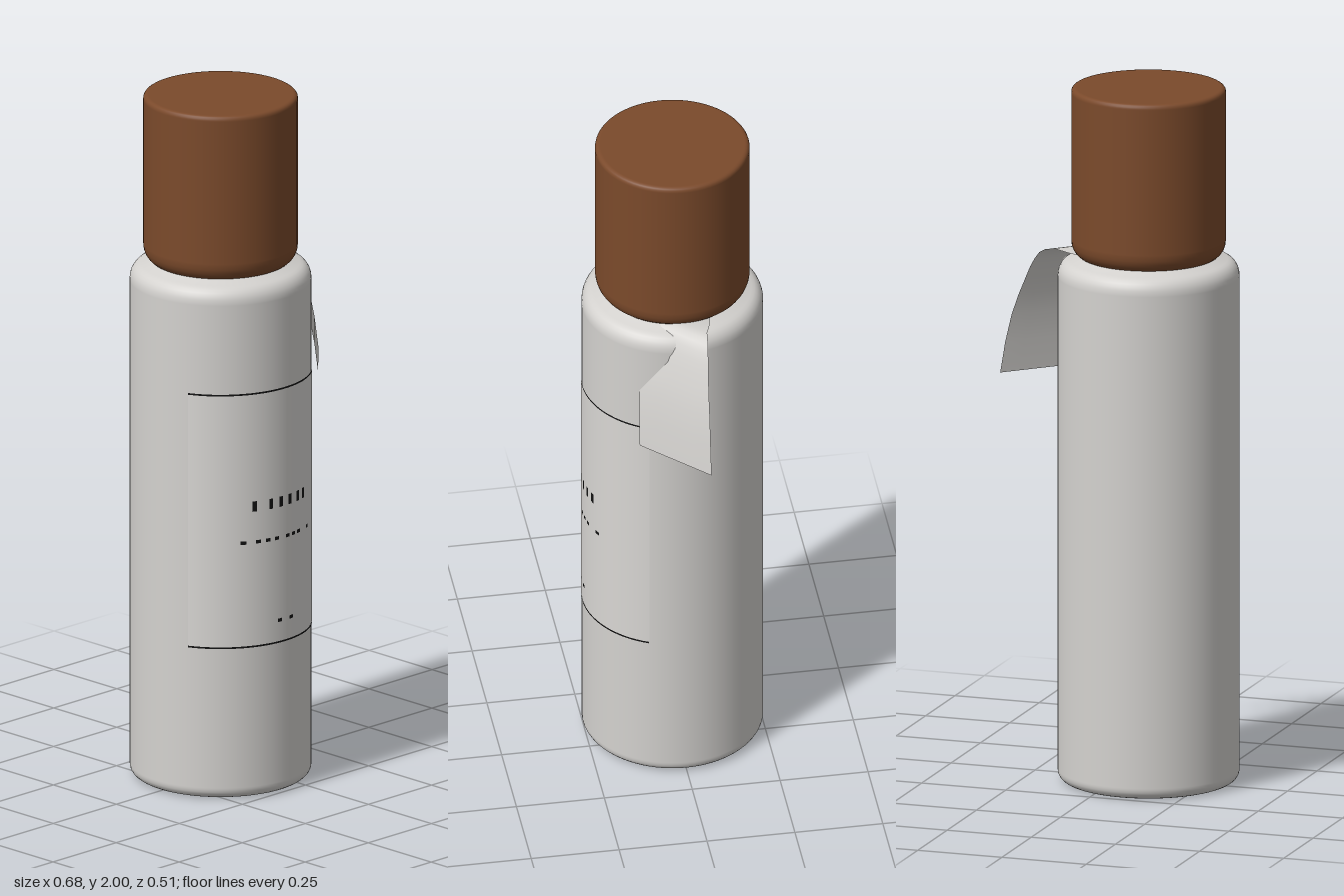
import * as THREE from 'three';

const AXIS_X = -0.087;

function material(name, color, side = THREE.FrontSide) {
  const m = new THREE.MeshStandardMaterial({ color, side });
  m.name = name;
  return m;
}

// Points of a quarter round between two directions (degrees)
function arc(cx, cy, rx, ry, from, to, n = 6) {
  return Array.from({ length: n + 1 }, (_, i) => {
    const a = THREE.MathUtils.degToRad(from + (to - from) * i / n);
    return [cx + rx * Math.cos(a), cy + ry * Math.sin(a)];
  });
}

function lathe(name, points, mat) {
  const geo = new THREE.LatheGeometry(points.map(p => new THREE.Vector2(...p)), 72);
  const mesh = new THREE.Mesh(geo, mat);
  mesh.name = name;
  return mesh;
}

// Thin curved patch on the front of the bottle
function patch(name, x0, x1, y, height, radius, mat) {
  const a0 = Math.asin(x0 / radius), a1 = Math.asin(x1 / radius);
  const segments = Math.max(1, Math.ceil((a1 - a0) / 0.07));
  const geo = new THREE.CylinderGeometry(radius, radius, height, segments, 1, true, a0, a1 - a0);
  const mesh = new THREE.Mesh(geo, mat);
  mesh.name = name;
  mesh.position.y = y;
  return mesh;
}

// Hanging tag: each row is [y, x + z, back edge z, front edge z]
function tagGeometry() {
  const rows = [
    [1.515, 0.00, -0.08, 0.10],
    [1.520, 0.06, -0.07, 0.12],
    [1.525, 0.12, -0.055, 0.12],
    [1.520, 0.15, -0.052, 0.12],
    [1.510, 0.17, -0.05, 0.115],
    [1.490, 0.187, -0.048, 0.07],
    [1.465, 0.203, -0.046, 0.042],
    [1.430, 0.22, -0.044, 0.055],
    [1.380, 0.243, -0.042, 0.09],
    [1.320, 0.265, -0.041, 0.13],
    [1.240, 0.285, -0.04, 0.133],
    [1.150, 0.30, -0.04, 0.135],
  ];
  const cols = 4, pos = [], index = [];
  rows.forEach(([y, s, za, zb], r) => {
    for (let c = 0; c <= cols; c++) {
      const z = za + (zb - za) * c / cols;
      pos.push(s - z, y, z);
      if (r && c) {
        const d = r * (cols + 1) + c, u = d - cols - 1;
        index.push(u - 1, d, u, u - 1, d - 1, d);
      }
    }
  });
  const geo = new THREE.BufferGeometry();
  geo.setAttribute('position', new THREE.Float32BufferAttribute(pos, 3));
  geo.setIndex(index);
  geo.computeVertexNormals();
  // Normals must face outward like the faces
  return geo;
}

export function createModel() {
  const model = new THREE.Group();
  const glass = material('pale grey glass', 0xd4d2cf);
  const paper = material('label paper', 0xd9d7d4);
  const tagPaper = material('tag paper', 0xd4d2cf, THREE.DoubleSide);
  const wood = material('brown wood', 0x7b4a2b);
  const ink = material('black ink', 0x111111);

  const bottle = new THREE.Group();
  bottle.name = 'bottle';
  bottle.position.x = AXIS_X;
  model.add(bottle);

  // Body with rounded foot and shoulder, and a short neck under the cap
  bottle.add(lathe('body', [
    [0, 0], [0.212, 0], [0.215, 0],
    ...arc(0.22, 0.03, 0.035, 0.03, -90, 0),
    [0.255, 0.035], [0.255, 1.455],
    ...arc(0.215, 1.46, 0.04, 0.045, 0, 80),
    [0.19, 1.515], [0.15, 1.53], [0.15, 1.56],
  ], glass));

  // Cap with a rounded lower edge and a fine bevel on top
  bottle.add(lathe('cap', [
    [0, 1.51], [0.17, 1.51], [0.173, 1.51],
    ...arc(0.175, 1.56, 0.042, 0.05, -90, 0),
    [0.217, 1.565], [0.217, 1.985],
    ...arc(0.205, 1.988, 0.012, 0.012, 0, 90, 4),
    [0.202, 2], [0, 2],
  ], wood));

  // Label with a fine rule along its top and bottom
  bottle.add(patch('label', -0.234, 0.234, 0.82, 0.74, 0.2562, paper));
  for (const y of [0.448, 1.192])
    bottle.add(patch('labelRule', -0.234, 0.234, y, 0.005, 0.2568, ink));

  // Small plain dashes on the label
  const dashes = [
    [0.86, 0.03, 0.012, [-0.1, -0.05, -0.015, 0.02, 0.055, 0.085]],
    [0.755, 0.01, 0.014, [-0.13, -0.09, -0.06, -0.03, 0.01, 0.035, 0.06, 0.11]],
    [0.512, 0.01, 0.016, [-0.02, 0.025]],
  ];
  for (const [y, h, w, xs] of dashes)
    for (const x of xs) bottle.add(patch('labelDash', x - w / 2, x + w / 2, y, h, 0.2568, ink));

  // Paper tag draped from the neck
  const tag = new THREE.Mesh(tagGeometry(), tagPaper);
  tag.name = 'hangingTag';
  model.add(tag);

  return model;
}
